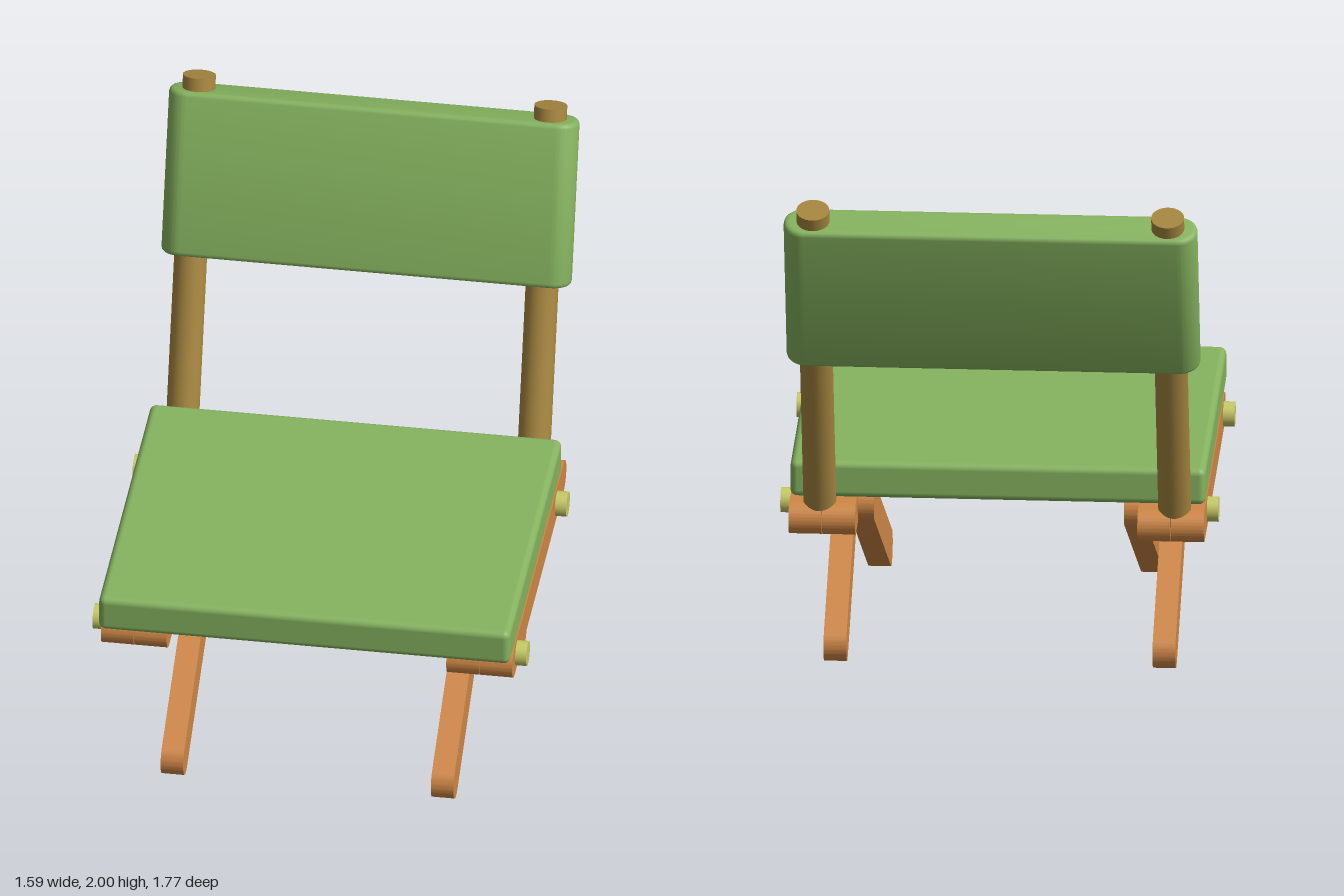
import * as THREE from 'three';
import { toCreasedNormals } from 'three/addons/utils/BufferGeometryUtils.js';
import { RoundedBoxGeometry } from 'three/addons/geometries/RoundedBoxGeometry.js';

const mat = (name, color) => {
  const m = new THREE.MeshStandardMaterial({ color });
  m.name = name;
  return m;
};

export function createModel() {
  const canvas = mat('green canvas', 0x86b35f);
  const wood = mat('orange wood', 0xcf8746);
  const post = mat('olive wood', 0xa68640);
  const brass = mat('pale brass', 0xc6c966);
  const root = new THREE.Group();
  root.name = 'foldingChair';

  const add = (name, geo, material, parent, x = 0, y = 0, z = 0) => {
    const mesh = new THREE.Mesh(geo, material);
    mesh.name = name;
    mesh.position.set(x, y, z);
    parent.add(mesh);
    return mesh;
  };

  // Flat bar with round ends, from a to b ([z, y] centres of the ends), r = half height
  const bar = (a, b, r, width) => {
    const half = Math.hypot(b[0] - a[0], b[1] - a[1]) / 2;
    const s = new THREE.Shape();
    s.absarc(half, 0, r, -Math.PI / 2, Math.PI / 2, false);
    s.absarc(-half, 0, r, Math.PI / 2, Math.PI * 1.5, false);
    const g = new THREE.ExtrudeGeometry(s, { depth: width, bevelEnabled: false, curveSegments: 16 });
    g.translate(0, 0, -width / 2);
    g.rotateZ(Math.atan2(b[1] - a[1], b[0] - a[0]));
    g.rotateY(-Math.PI / 2);
    g.translate(0, (a[1] + b[1]) / 2, (a[0] + b[0]) / 2);
    return toCreasedNormals(g, 0.6);
  };

  // Seat cushion
  add('seat', new RoundedBoxGeometry(1.51, 0.14, 1.265, 4, 0.025), canvas, root, 0, 0.76, 0.253);

  // Rails, crossed legs and bolts on both sides
  const railGeo = bar([-0.42, 0.63], [0.765, 0.63], 0.06, 0.12);
  const outerLegGeo = bar([-0.218, 0.067], [0.715, 0.63], 0.067, 0.083);
  const innerLegGeo = bar([0.745, 0.067], [-0.25, 0.63], 0.067, 0.083);
  const boltGeo = new THREE.CylinderGeometry(0.046, 0.046, 0.06, 32).rotateZ(Math.PI / 2);
  for (const side of [1, -1]) {
    const frame = new THREE.Group();
    frame.name = side > 0 ? 'leftFrame' : 'rightFrame';
    root.add(frame);
    add('outerRail', railGeo, wood, frame, side * 0.695);
    add('innerRail', railGeo, wood, frame, side * 0.573);
    add('outerLeg', outerLegGeo, wood, frame, side * 0.598);
    add('innerLeg', innerLegGeo, wood, frame, side * 0.496);
    for (const z of [0.71, -0.25]) add('bolt', boltGeo, brass, frame, side * 0.766, 0.63, z);
  }

  // Leaning back: panel with rounded ends on two posts
  const back = new THREE.Group();
  back.name = 'backrest';
  back.position.set(0, 1.637, -0.716);
  back.rotation.x = -0.315;
  root.add(back);

  const bevel = 0.018;
  const w = 0.752 - bevel, t = 0.078 - bevel, r = 0.056;
  const s = new THREE.Shape();
  s.absarc(w - r, t - r, r, 0, Math.PI / 2, false);
  s.absarc(-w + r, t - r, r, Math.PI / 2, Math.PI, false);
  s.absarc(-w + r, -t + r, r, Math.PI, Math.PI * 1.5, false);
  s.absarc(w - r, -t + r, r, Math.PI * 1.5, Math.PI * 2, false);
  const depth = 0.625 - bevel * 2;
  const panel = new THREE.ExtrudeGeometry(s, {
    depth, bevelThickness: bevel, bevelSize: bevel, bevelSegments: 3, curveSegments: 10,
  });
  panel.translate(0, 0, -depth / 2).rotateX(-Math.PI / 2);
  add('backPanel', toCreasedNormals(panel, 0.7), canvas, back);

  const top = 0.362, bottom = -1.06;
  const postGeo = new THREE.CylinderGeometry(0.06, 0.06, top - bottom, 32);
  for (const side of [1, -1]) add('backPost', postGeo, post, back, side * 0.645, (top + bottom) / 2, 0);

  return root;
}
